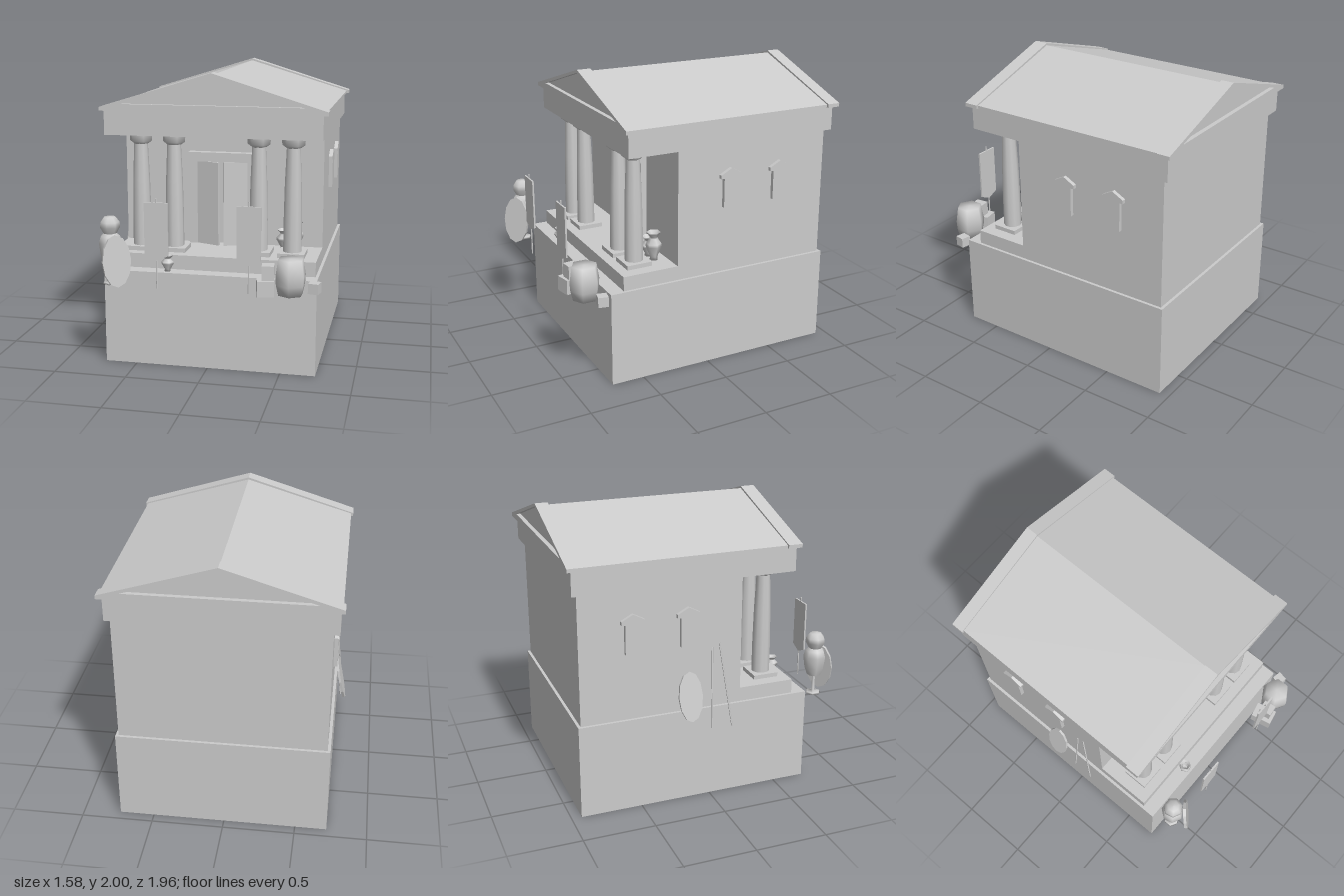
import * as THREE from 'three';

const mat = new THREE.MeshStandardMaterial({ color: 0xcccccc, side: THREE.DoubleSide });
const flat = new THREE.MeshStandardMaterial({ color: 0xcccccc, side: THREE.DoubleSide, flatShading: true });

export function createModel() {
  const root = new THREE.Group();

  const add = (name, geo, x = 0, y = 0, z = 0, material = flat, parent = root) => {
    const m = new THREE.Mesh(geo, material);
    m.name = name;
    m.position.set(x, y, z);
    parent.add(m);
    return m;
  };
  // box given by its min and max limits
  const box = (name, x0, x1, y0, y1, z0, z1) => add(name,
    new THREE.BoxGeometry(x1 - x0, y1 - y0, z1 - z0), (x0 + x1) / 2, (y0 + y1) / 2, (z0 + z1) / 2);
  const toVecs = pts => pts.map(p => new THREE.Vector2(...p));
  const prism = (pts, depth, hole) => {
    const s = new THREE.Shape(toVecs(pts));
    if (hole) s.holes.push(new THREE.Path(toVecs(hole)));
    return new THREE.ExtrudeGeometry(s, { depth, bevelEnabled: false });
  };
  const lathe = (pts, sides) => new THREE.LatheGeometry(toVecs(pts), sides);
  // thin round rod between two points
  const rod = (name, a, b, r) => {
    const p = new THREE.Vector3(...a), q = new THREE.Vector3(...b);
    const m = add(name, new THREE.CylinderGeometry(r, r, p.distanceTo(q), 5));
    m.position.copy(p).add(q).multiplyScalar(0.5);
    m.quaternion.setFromUnitVectors(new THREE.Vector3(0, 1, 0), q.sub(p).normalize());
    return m;
  };

  // hollow podium, open underneath
  const podium = new THREE.BoxGeometry(1.46, 0.66, 1.66);
  const idx = Array.from(podium.index.array);
  idx.splice(18, 6);
  podium.setIndex(idx);
  podium.clearGroups();
  add('podium', podium, 0.01, 0.33, -0.1);

  // main building
  box('porchFloor', -0.7, 0.72, 0.66, 0.76, 0.23, 0.63);
  box('hall', -0.7, 0.72, 0.66, 1.57, -0.91, 0.23);
  box('entablature', -0.74, 0.75, 1.57, 1.74, -0.95, 0.6);

  // roof and recessed pediments at both ends
  const gable = (half, low, eave, top) =>
    [[0.01 - half, low], [0.01 + half, low], [0.01 + half, eave], [0.01, top], [0.01 - half, eave]];
  add('roof', prism(gable(0.76, 1.74, 1.757, 1.985), 1.42), 0, 0, -0.89);
  const outer = gable(0.775, 1.737, 1.762, 2);
  const hole = [[-0.61, 1.785], [0.01, 1.98], [0.63, 1.785]];
  add('frontPediment', prism(outer, 0.07), 0, 0, 0.53);
  add('frontPedimentFrame', prism(outer, 0.03, hole), 0, 0, 0.6);
  add('backPediment', prism(outer, 0.06), 0, 0, -0.95);
  add('backPedimentFrame', prism(outer, 0.03, hole), 0, 0, -0.98);

  // porch columns
  for (const x of [-0.52, -0.285, 0.305, 0.54]) {
    const column = new THREE.Group();
    column.name = 'column';
    column.position.set(x, 0, 0.47);
    root.add(column);
    add('plinth', new THREE.BoxGeometry(0.185, 0.03, 0.18), 0, 0.775, 0, flat, column);
    add('shaft', lathe([[0.064, 0.79], [0.063, 1.0], [0.058, 1.25], [0.047, 1.51]], 10), 0, 0, 0, mat, column);
    add('capital', lathe([[0.05, 1.5], [0.078, 1.52], [0.08, 1.57]], 6), 0, 0, 0, mat, column)
      .rotation.y = Math.PI / 2;
  }

  // doorway with two doors slightly ajar
  box('leftJamb', 0.19, 0.25, 0.76, 1.36, 0.23, 0.27);
  box('rightJamb', -0.23, -0.17, 0.76, 1.36, 0.23, 0.27);
  box('lintel', -0.23, 0.25, 1.355, 1.42, 0.23, 0.287);
  for (const s of [-1, 1]) {
    const hinge = new THREE.Group();
    hinge.name = s > 0 ? 'leftDoor' : 'rightDoor';
    hinge.position.set(0.01 + s * 0.18, 0, 0.25);
    hinge.rotation.y = s * 0.36;
    root.add(hinge);
    add('doorPanel', new THREE.BoxGeometry(0.175, 0.595, 0.02), -s * 0.0875, 1.0575, 0, flat, hinge);
  }

  // hooded windows on both long walls
  const win = prism([[-0.055, 1.13], [0.055, 1.13], [0.055, 1.335], [0.08, 1.335], [0.08, 1.36],
    [0, 1.403], [-0.08, 1.36], [-0.08, 1.335], [-0.055, 1.335]], 0.03);
  for (const z of [-0.16, -0.545]) {
    add('leftWindow', win, 0.717, 0, z).rotation.y = Math.PI / 2;
    add('rightWindow', win, -0.697, 0, z).rotation.y = -Math.PI / 2;
  }

  // pointed banners on poles
  for (const x of [-0.3, 0.315]) {
    rod('bannerPole', [x, 0.6, 0.895], [x, 1.21, 0.895], 0.005);
    add('bannerCloth', prism([[-0.08, 1.18], [-0.08, 0.825], [0, 0.79], [0.08, 0.825], [0.08, 1.18]], 0.012), x, 0, 0.889);
  }

  // armour stand
  const stand = new THREE.Group();
  stand.name = 'armourStand';
  stand.position.set(-0.635, 0, 0.84);
  root.add(stand);
  add('foot', lathe([[0, 0.6], [0.055, 0.6], [0.05, 0.612], [0.012, 0.622], [0.012, 0.78]], 6), 0, 0, 0, mat, stand);
  add('breastplate', lathe([[0.05, 0.745], [0.068, 0.8], [0.08, 0.885], [0.066, 0.93], [0.035, 0.955]], 7), 0, 0, 0, mat, stand);
  add('helmet', lathe([[0.035, 0.93], [0.068, 0.99], [0.066, 1.025], [0.04, 1.058], [0, 1.062]], 7), 0, 0, 0, mat, stand);

  // long oval shields
  const shield = new THREE.CylinderGeometry(0.5, 0.5, 0.02, 12);
  shield.rotateX(Math.PI / 2);
  const frontShield = add('frontShield', shield, -0.57, 0.775, 0.915);
  frontShield.scale.set(0.2, 0.35, 1);
  frontShield.rotation.set(-0.1, 0.67, 0, 'YXZ');
  const wallShield = add('wallShield', shield, -0.75, 0.775, -0.155);
  wallShield.scale.set(0.17, 0.35, 0.8);
  wallShield.rotation.set(-0.2, -Math.PI / 2, 0, 'YXZ');

  // leaning spears
  rod('spear', [-0.76, 0.51, 0.15], [-0.7, 1.12, 0.07], 0.006);
  rod('spear', [-0.755, 0.52, 0.0], [-0.7, 1.09, 0.02], 0.006);
  rod('spear', [0.25, 0.76, 0.275], [0.21, 1.2, 0.235], 0.006);

  // barrel
  add('barrel', lathe([[0, 0.6], [0.085, 0.6], [0.102, 0.67], [0.106, 0.73], [0.088, 0.84], [0, 0.84]], 6), 0.583, 0, 0.85, mat);

  // crates: width, height, depth, x, base y, z, turn
  for (const [w, h, d, x, y, z, turn] of [
    [0.11, 0.105, 0.15, 0.42, 0.6, 0.875, 0.2],
    [0.08, 0.095, 0.09, 0.44, 0.705, 0.88, 0.12],
    [0.07, 0.07, 0.07, 0.733, 0.6, 0.79, -0.2],
  ]) add('crate', new THREE.BoxGeometry(w, h, d), x, y + h / 2, z).rotation.y = turn;

  // vases: x, base y, z, height, radius
  for (const [x, y, z, h, r] of [
    [-0.285, 0.66, 0.68, 0.11, 0.044], [0.46, 0.76, 0.32, 0.14, 0.055], [0.54, 0.76, 0.32, 0.2, 0.056],
  ]) {
    const profile = [[0, 0], [0.5, 0], [0.45, 0.12], [1, 0.5], [0.95, 0.6], [0.5, 0.78], [0.5, 0.84], [0.9, 1]];
    add('vase', lathe(profile.map(([a, b]) => [a * r, b * h]), 6), x, y, z, mat).rotation.y = Math.PI / 2;
  }

  return root;
}
